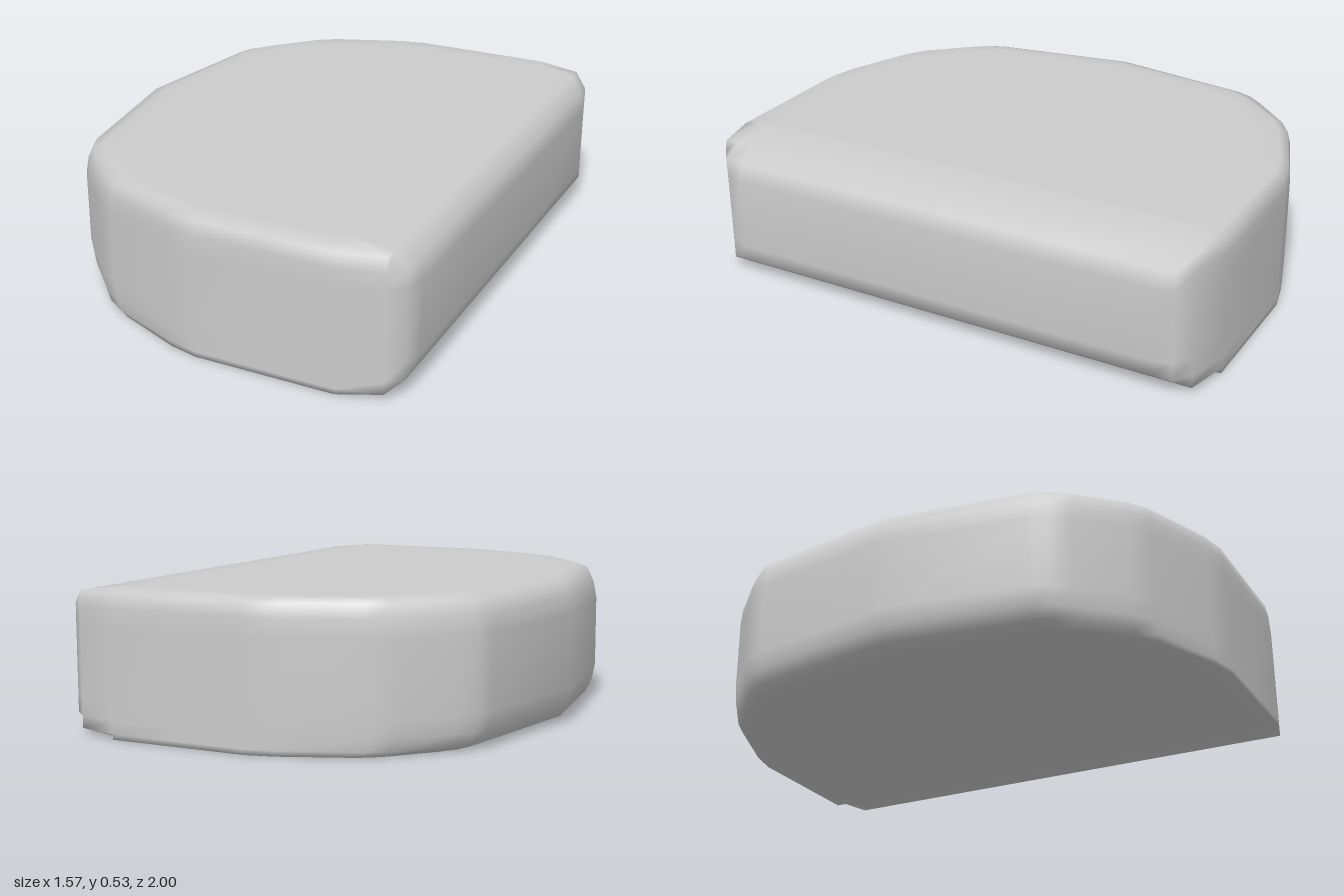
import * as THREE from 'three';

// Half of the D-shaped outline as [x, z], from the straight edge round to the tip
const HALF = [
  [0.785, 0.42], [0.785, 0.84], [0.765, 0.91], [0.71, 0.96], [0.55, 1], [0.3, 1], [0.02, 1], [-0.1, 0.975],
  [-0.39, 0.87], [-0.47, 0.82], [-0.62, 0.67], [-0.67, 0.61], [-0.695, 0.55],
];

// Levels from bottom to top: height, straight-edge x, tip inset, side z, ring scale
const LEVELS = [
  [0, 0.55, 0.095, 1, 0],
  [0, 0.55, 0.095, 1, 0.93],
  [0, 0.55, 0.095, 1, 1],
  [0.02, 0.71, 0.04, 1, 1],
  [0.065, 0.765, 0.015, 1, 1],
  [0.13, 0.785, 0, 1, 1],
  [0.4, 0.785, 0, 1, 1],
  [0.465, 0.765, 0.015, 1, 1],
  [0.515, 0.71, 0.04, 0.99, 1],
  [0.533, 0.55, 0.095, 0.96, 1],
  [0.533, 0.55, 0.095, 0.96, 0.93],
  [0.533, 0.55, 0.095, 0.96, 0],
];

function cushionGeometry() {
  const mirrored = HALF.map(([x, z]) => [x, -z]).reverse();
  const outline = [[0.785, 0], ...HALF, [-0.785, 0], ...mirrored];
  const n = outline.length;
  const positions = [];
  const index = [];
  LEVELS.forEach(([y, edge, tipInset, side, scale], j) => {
    outline.forEach(([x, z], i) => {
      // Cut the straight edge back, and draw the rounded end inwards
      const px = x > 0 ? Math.min(x, edge) : x * (1 - tipInset / 0.785);
      positions.push(px * scale, y, z * side * scale);
      if (j === LEVELS.length - 1) return;
      const a = j * n + i;
      const b = j * n + ((i + 1) % n);
      if (scale > 0) index.push(a, a + n, b);
      if (LEVELS[j + 1][4] > 0) index.push(b, a + n, b + n);
      else index.push(b, a + n, b + n);
    });
  });
  const geometry = new THREE.BufferGeometry();
  geometry.setAttribute('position', new THREE.Float32BufferAttribute(positions, 3));
  geometry.setIndex(index);
  geometry.computeVertexNormals();
  return geometry;
}

export function createModel() {
  const group = new THREE.Group();
  group.name = 'cushionBlock';
  const material = new THREE.MeshStandardMaterial({ color: 0xcccccc });
  const cushion = new THREE.Mesh(cushionGeometry(), material);
  cushion.name = 'cushion';
  group.add(cushion);
  return group;
}
